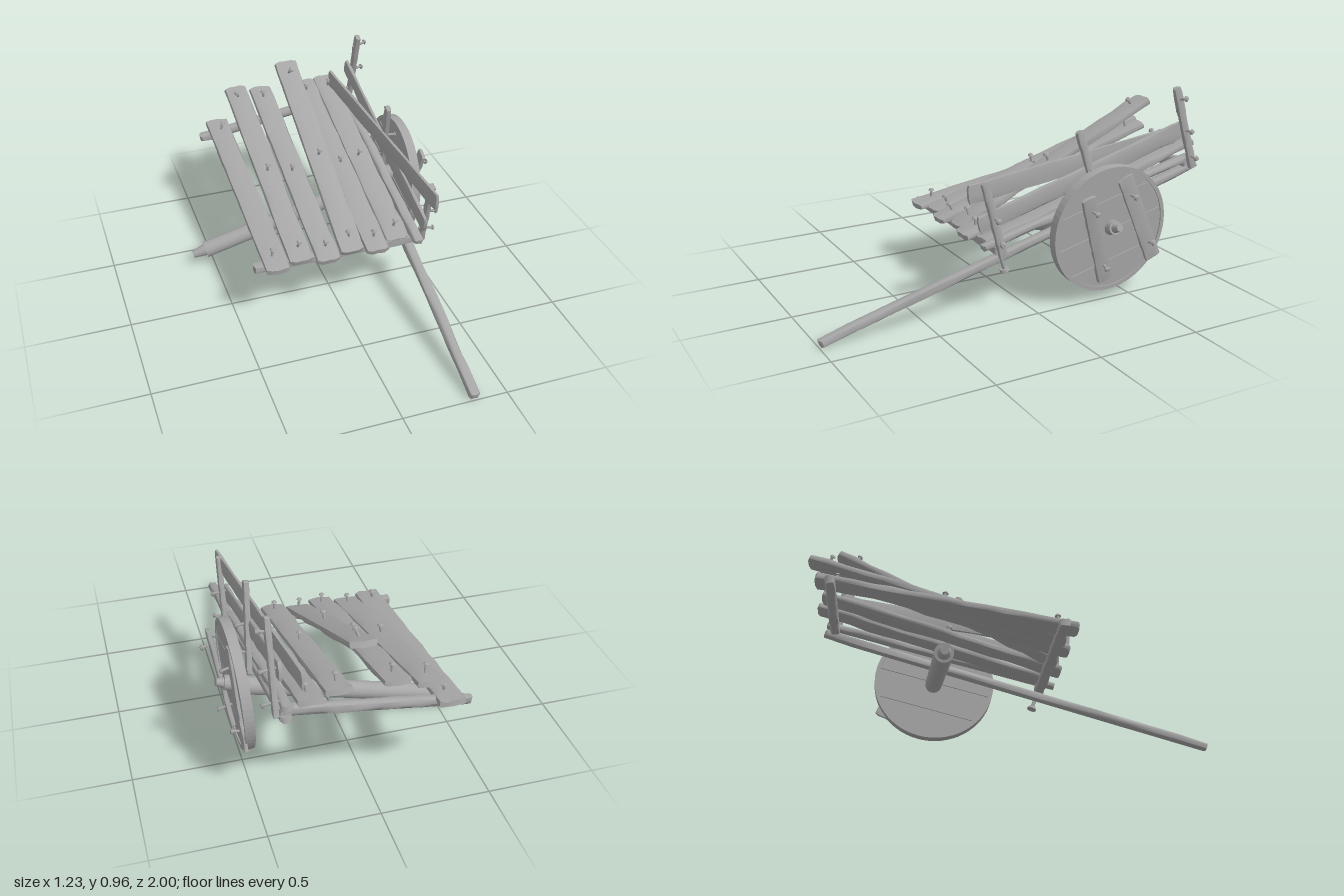
import * as THREE from 'three';

const wood = new THREE.MeshStandardMaterial({ color: 0xa6a6a6 });
wood.name = 'weathered grey';

const V = (p) => new THREE.Vector3(...p);
const hash = (x, y, z, s) => {
  const n = Math.sin(x * 127.1 + y * 311.7 + z * 74.7 + s * 53.3) * 43758.5453;
  return n - Math.floor(n);
};

function mesh(name, geo) {
  const m = new THREE.Mesh(geo, wood);
  m.name = name;
  return m;
}

// Iron nail standing along local y, with a round head
function nail(seed) {
  const g = new THREE.Group();
  g.name = 'nail';
  const shank = mesh('nailShank', new THREE.CylinderGeometry(0.007, 0.006, 0.07, 6));
  const head = mesh('nailHead', new THREE.CylinderGeometry(0.009, 0.015, 0.01, 8));
  head.position.y = 0.037;
  g.add(shank, head);
  g.rotation.set((hash(seed, 1, 2, 3) - 0.5) * 0.5, 0, (hash(seed, 4, 5, 6) - 0.5) * 0.5);
  return g;
}

// Worn board from a to b; "side" is the direction of its width
function board(name, a, b, width, thick, { side = [1, 0, 0], nails = [], wear = 0.007 } = {}) {
  const A = V(a), B = V(b);
  const dir = B.clone().sub(A), len = dir.length();
  dir.normalize();
  const x = V(side).addScaledVector(dir, -V(side).dot(dir)).normalize();
  const y = dir.clone().cross(x);

  const geo = new THREE.BoxGeometry(width, thick, len, 4, 2, 14);
  const p = geo.attributes.position;
  const seed = a[0] * 7 + b[1] * 3;
  for (let i = 0; i < p.count; i++) {
    const px = p.getX(i), py = p.getY(i), pz = p.getZ(i);
    const onX = Math.abs(px) > width * 0.49, onY = Math.abs(py) > thick * 0.49;
    const onZ = Math.abs(pz) > len * 0.499;
    const h = hash(Math.round(px * 999), Math.round(py * 999), Math.round(pz * 999), seed);
    // chip the long edges and round the ends
    if (onX) p.setX(i, px - Math.sign(px) * wear * (onY ? 0.3 + h : h * 0.3));
    if (onZ && onX) p.setZ(i, pz - Math.sign(pz) * wear * 1.3);
    if (onY && (onX || onZ)) p.setY(i, py - Math.sign(py) * Math.min(wear, thick * 0.2) * (0.3 + h));
  }
  geo.computeVertexNormals();

  const g = new THREE.Group();
  g.name = name;
  g.add(mesh(name + 'Wood', geo));
  nails.forEach((u, i) => {
    const n = nail(seed + i * 1.7);
    n.position.set((hash(seed, i, 1, 9) - 0.5) * width * 0.15, thick / 2, (u - 0.5) * len);
    g.add(n);
  });
  g.applyMatrix4(new THREE.Matrix4().makeBasis(x, y, dir).setPosition(A.add(B).multiplyScalar(0.5)));
  return g;
}

// Round rod from a (radius ra) to b (radius rb)
function rod(name, a, b, ra, rb, sides = 16) {
  const A = V(a), B = V(b), dir = B.clone().sub(A);
  const m = mesh(name, new THREE.CylinderGeometry(rb, ra, dir.length(), sides));
  m.quaternion.setFromUnitVectors(new THREE.Vector3(0, 1, 0), dir.normalize());
  m.position.copy(A.add(B).multiplyScalar(0.5));
  return m;
}

// Flat shape extruded along x and centred on x = 0
function slab(name, shape, depth) {
  const geo = new THREE.ExtrudeGeometry(shape, { depth, bevelEnabled: false, curveSegments: 32 });
  geo.translate(0, 0, -depth / 2);
  geo.rotateZ(0.24);
  geo.rotateY(Math.PI / 2);
  return mesh(name, geo);
}

function makeWheel() {
  const g = new THREE.Group();
  g.name = 'wheel';
  // rim band
  const rim = new THREE.Shape().absarc(0, 0, 0.303, 0, Math.PI * 2, false);
  rim.holes.push(new THREE.Path().absarc(0, 0, 0.284, 0, Math.PI * 2, true));
  g.add(slab('rim', rim, 0.046));
  // solid core behind the wheel planks
  const core = new THREE.Shape().absarc(0, 0, 0.287, 0, Math.PI * 2, false);
  g.add(slab('wheelCore', core, 0.022));
  // four planks cut to the circle
  const r = 0.286, cuts = [-0.285, -0.15, 0.0, 0.15, 0.285];
  for (let i = 0; i < 4; i++) {
    const lo = Math.asin((cuts[i] + 0.002) / r), hi = Math.asin((cuts[i + 1] - 0.002) / r);
    const s = new THREE.Shape();
    s.absarc(0, 0, r, lo, hi, false);
    s.absarc(0, 0, r, Math.PI - hi, Math.PI - lo, false);
    g.add(slab('wheelPlank', s, 0.034));
  }
  g.position.set(0.493, 0.35, -0.375);
  g.rotation.z = -0.05;
  return g;
}

export function createModel() {
  const cart = new THREE.Group();
  cart.name = 'brokenCart';

  // Bed planks: [x, rear y, rear z, front z]
  const planks = [
    [-0.318, 0.495, -0.95, 0.23],
    [-0.195, 0.655, -0.995, 0.195],
    [-0.07, 0.655, -0.95, 0.23],
    [0.057, 0.82, -0.88, 0.195],
    [0.177, 0.657, -0.95, 0.23],
    [0.297, 0.65, -0.975, 0.175],
  ];
  planks.forEach(([x, y, zr, zf], i) =>
    cart.add(board('bedPlank', [x, y, zr], [x, 0.318, zf], 0.12, 0.036,
      { nails: i === 0 ? [0.08, 0.92] : [0.07, 0.52, 0.93] })));

  // Frame: cross beams and the long pulling shaft
  cart.add(board('frontBeam', [-0.42, 0.308, 0.155], [0.42, 0.308, 0.155], 0.05, 0.04, { side: [0, 0, 1], wear: 0.004 }));
  cart.add(board('rearBeam', [-0.425, 0.448, -0.88], [0.42, 0.575, -0.89], 0.05, 0.045, { side: [0, 0, 1], wear: 0.008 }));
  cart.add(board('shaft', [0.395, 0.555, -0.94], [0.345, 0.02, 0.995], 0.055, 0.04, { wear: 0.008 }));
  cart.add(board('sideRail', [0.385, 0.6, -0.93], [0.385, 0.325, 0.23], 0.055, 0.035));
  cart.add(rod('shaftPeg', [0.385, 0.2, 0.115], [0.395, 0.3, 0.15], 0.009, 0.009, 8));
  cart.add(rod('shaftPegHead', [0.385, 0.195, 0.113], [0.386, 0.207, 0.117], 0.024, 0.02, 8));

  // Side boards: one fixed, one fallen inward
  cart.add(board('lowerSideBoard', [0.4, 0.75, -0.88], [0.4, 0.435, 0.255], 0.09, 0.022, { side: [0, 1, 0] }));
  cart.add(board('looseSideBoard', [0.31, 0.69, -0.885], [0.425, 0.597, 0.32], 0.092, 0.02, { side: [0, 1, 0], wear: 0.004 }));

  // Upright stakes along the wheel side
  const upright = { side: [0, 0, 1], wear: 0.004 };
  cart.add(board('frontStake', [0.43, 0.285, 0.145], [0.43, 0.648, 0.243], 0.042, 0.028, { ...upright, nails: [0.2, 0.52] }));
  cart.add(board('middleStake', [0.428, 0.39, -0.385], [0.402, 0.805, -0.262], 0.042, 0.028, { ...upright, nails: [0.25, 0.55] }));
  cart.add(board('rearStake', [0.43, 0.55, -0.905], [0.43, 0.957, -0.782], 0.042, 0.028, { ...upright, nails: [0.15, 0.48, 0.86] }));

  // Axle, sloping to the ground where its wheel is missing
  cart.add(rod('axle', [-0.54, 0.08, -0.38], [0.455, 0.332, -0.38], 0.042, 0.042, 18));
  cart.add(rod('axleEnd', [-0.605, 0.064, -0.38], [-0.535, 0.081, -0.38], 0.019, 0.031, 12));
  cart.add(rod('hub', [0.44, 0.345, -0.38], [0.545, 0.365, -0.38], 0.042, 0.034, 14));
  cart.add(rod('hubTip', [0.54, 0.364, -0.38], [0.58, 0.375, -0.38], 0.025, 0.017, 12));

  // Solid wheel with one tight and one loose batten
  cart.add(makeWheel());
  cart.add(board('tightBatten', [0.507, 0.165, -0.63], [0.526, 0.595, -0.435], 0.085, 0.022, { ...upright, nails: [0.2, 0.8] }));
  cart.add(board('looseBatten', [0.508, 0.1, -0.355], [0.575, 0.543, -0.205], 0.075, 0.024, { ...upright, nails: [0.2, 0.85] }));

  return cart;
}
